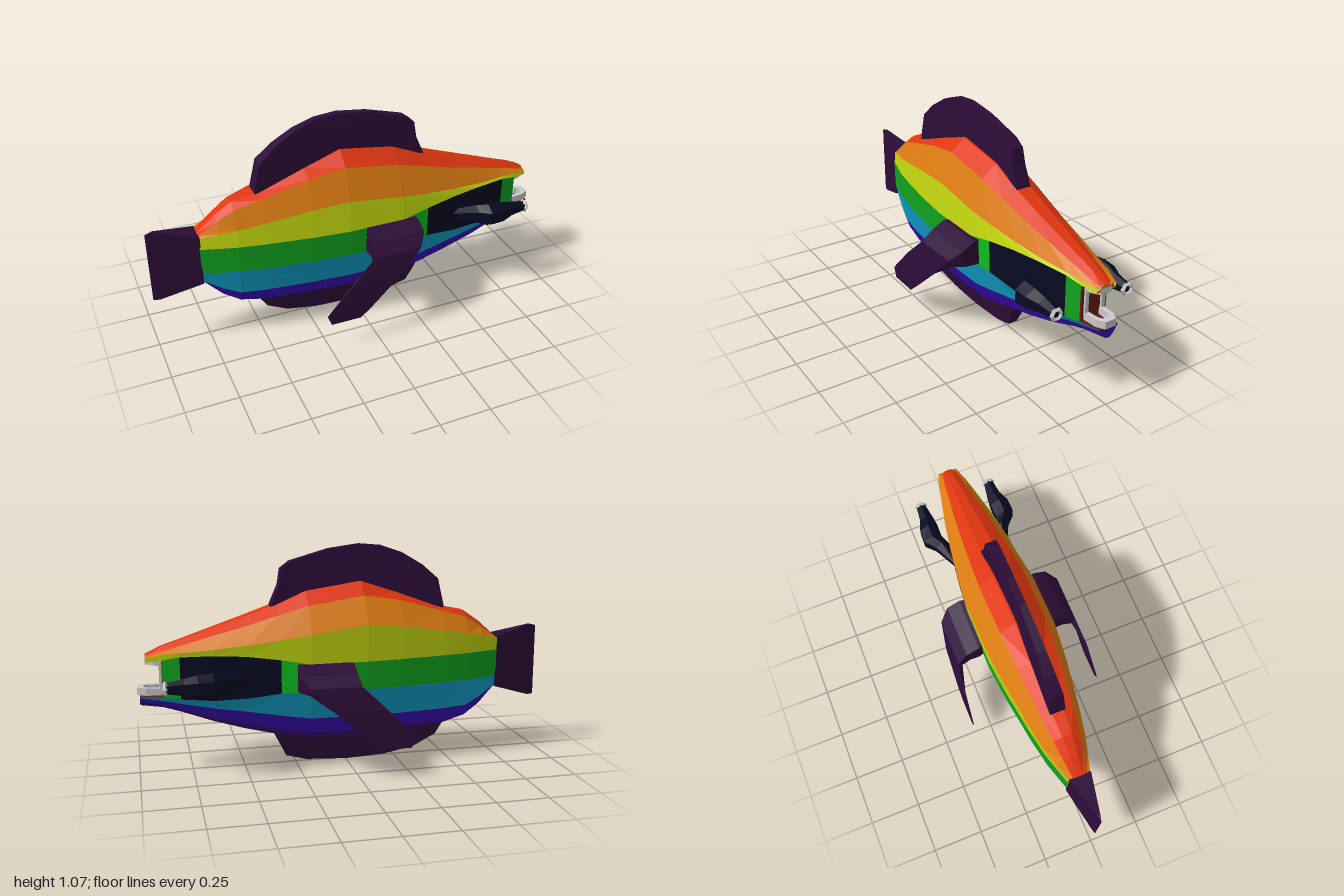
import * as THREE from 'three';

const FIN = 0x2d0c38, NAVY = 0x060a22, GREEN = 0x10a41e, MAROON = 0x6b1c10, GREY = 0xcccccc;

function add(group, name, geo, color) {
  const material = new THREE.MeshStandardMaterial({ color, flatShading: true, side: THREE.DoubleSide });
  const mesh = new THREE.Mesh(geo, material);
  mesh.name = name;
  group.add(mesh);
  return mesh;
}

// Faceted skin over a list of rows of [x, y, z] points
function skin(rows, flip = false) {
  const pos = [];
  for (let i = 0; i + 1 < rows.length; i++) {
    for (let j = 0; j + 1 < rows[i].length; j++) {
      const a = rows[i][j], b = rows[i + 1][j], c = rows[i + 1][j + 1], d = rows[i][j + 1];
      pos.push(...(flip ? [a, c, b, a, d, c] : [a, b, c, a, c, d]).flat());
    }
  }
  const geo = new THREE.BufferGeometry();
  geo.setAttribute('position', new THREE.Float32BufferAttribute(pos, 3));
  geo.computeVertexNormals();
  return geo;
}

// Closed skin through a list of rings with equal point counts
function loft(rings, flip) {
  const n = rings[0].length;
  const rows = [];
  for (let k = 0; k <= n; k++) rows.push(rings.map(r => r[k % n]));
  return skin(rows, flip);
}

// Side outline given a thickness that varies over x and y
function blade(outline, thickness) {
  const shape = new THREE.Shape(outline.map(([x, y]) => new THREE.Vector2(x, y)));
  const geo = new THREE.ExtrudeGeometry(shape, { depth: 1, bevelEnabled: false });
  const p = geo.attributes.position;
  for (let i = 0; i < p.count; i++) p.setZ(i, (p.getZ(i) - 0.5) * thickness(p.getX(i), p.getY(i)));
  geo.computeVertexNormals();
  return geo;
}

// Body stations: position along the body and half width
const X = [-.77, -.68, -.6, -.48, -.25, -.07, .2, .34, .5, .65, .8, .88, .96];
const W = [.055, .082, .105, .128, .162, .18, .182, .166, .145, .12, .088, .072, .05];

// Height of each colour boundary at the stations, from back ridge to belly
const Y = [
  [.59, .67, .725, .75, .83, .89, .85, .79, .735, .685, .635, .61, .575],
  [.588, .65, .70, .735, .80, .83, .79, .75, .70, .66, .615, .592, .568],
  [.58, .60, .61, .63, .665, .68, .645, .625, .605, .59, .58, .573, .56],
  [.525, .525, .525, .525, .525, .525, .525, .55, .57, .575, .57, .555, .545],
  [.39, .39, .39, .39, .39, .39, .39, .39, .37, .362, .37, .38, .385],
  [.345, .29, .255, .25, .25, .25, .255, .275, .30, .32, .345, .36, .375],
  [.34, .25, .20, .18, .175, .17, .175, .20, .235, .27, .315, .335, .355],
  [.335, .24, .185, .15, .135, .13, .13, .155, .195, .24, .295, .32, .335],
];
const WIDTH = [.22, .61, .92, 1, .98, .8, .61, .22];
const BANDS = [0xe0360f, 0xdc7c12, 0xc4d80e, GREEN, 0x109fc6, 0x3a0cb4, 0x3e0a78];
const BAND_NAMES = ['red', 'orange', 'yellow', 'green', 'cyan', 'blue', 'purple'];

function line(i, s) {
  const bulge = s < 0 && i === 2; // the right flank swells under the orange band
  return X.map((x, j) => [
    j === 12 ? (i < 4 ? .955 : .985) : x,
    Y[i][j] + (bulge ? .12 * W[j] : 0),
    s * W[j] * WIDTH[i] * (bulge ? 1.13 : 1),
  ]);
}

function addBody(group) {
  for (const s of [1, -1]) {
    const L = WIDTH.map((_, i) => line(i, s));
    const side = s > 0 ? 'Left' : 'Right';
    BANDS.forEach((color, i) => {
      const part = (name, from, to, c) =>
        add(group, name + side, skin([L[i].slice(from, to), L[i + 1].slice(from, to)], s < 0), c);
      if (i !== 3) return part(BAND_NAMES[i] + 'Band', 0, 13, color);
      part('greenBand', 0, 7, color);
      part('cheekPanel', 7, 11, NAVY);
      part('mouthCorner', 10, 12, color);
      // Green rim ahead of the fin
      part('cheekRim', 6, 8, 0x10c020);
    });
  }
  add(group, 'backRidge', skin([line(0, -1), line(0, 1)]), BANDS[0]);
  add(group, 'belly', skin([line(7, 1), line(7, -1)]), BANDS[6]);
}

function addMouth(group) {
  const tip = (i, s) => line(i, s).slice(11);
  add(group, 'palate', skin([tip(3, 1), tip(3, -1)]), MAROON);
  add(group, 'mouthFloor', skin([tip(4, -1), tip(4, 1)]), MAROON);
  add(group, 'throat', new THREE.BoxGeometry(.02, .17, .13), MAROON).position.set(.872, .467, 0);
  // Closed tips of both jaws
  const lip = (name, a, b, color) => add(group, name,
    skin([a, b].map(i => [line(i, 1)[12], line(i, -1)[12]])), color);
  lip('upperLip', 0, 3, BANDS[1]);
  lip('lowerLip', 4, 7, BANDS[5]);
  // U-shaped tooth rows
  const toothRow = (name, back, front, y, h, tilt) => {
    const outer = [[back, .052], [front - .04, .048], [front, .028]];
    const inner = [[front - .03, .018], [front - .05, .028], [back, .032]];
    const half = [...outer, [front, -.028], [front - .04, -.048], [back, -.052],
      [back, -.032], [front - .05, -.028], [front - .03, -.018], ...inner];
    const shape = new THREE.Shape(half.map(([x, z]) => new THREE.Vector2(x - back, z)));
    const geo = new THREE.ExtrudeGeometry(shape, { depth: h, bevelEnabled: false });
    geo.rotateX(-Math.PI / 2).rotateZ(tilt).translate(back, y, 0);
    add(group, name, geo, GREY);
  };
  toothRow('upperTeeth', .875, .958, .525, .04, .1);
  toothRow('lowerTeeth', .87, .997, .385, .035, .03);
  for (const s of [1, -1])
    add(group, 'backTooth', new THREE.BoxGeometry(.015, .13, .018), GREY).position.set(.885, .475, s * .044);
}

function addSidePods(group) {
  // x, centre z, half height, half width
  const sections = [[.48, .125, .03, .015], [.61, .165, .05, .04], [.66, .198, .06, .054],
    [.73, .196, .056, .054], [.79, .188, .04, .038], [.87, .19, .026, .026]];
  for (const s of [1, -1]) {
    const rings = sections.map(([x, z, h, w]) => Array.from({ length: 6 }, (_, k) => {
      const t = k * Math.PI / 3;
      return [x, .452 + h * Math.cos(t), s * z + w * Math.sin(t)];
    }));
    add(group, 'sidePod', loft(rings), NAVY);
    // Hexagonal muzzle with a dark bore
    const ring = add(group, 'podRing', new THREE.TorusGeometry(.024, .011, 4, 6), GREY);
    ring.rotation.y = Math.PI / 2;
    ring.position.set(.874, .452, s * .19);
    const bore = add(group, 'podBore', new THREE.CylinderGeometry(.02, .02, .02, 6), 0x101010);
    bore.rotation.z = Math.PI / 2;
    bore.position.set(.866, .452, s * .19);
  }
}

function addFins(group) {
  add(group, 'dorsalFin', blade([[-.49, .72], [-.49, .76], [-.46, .89], [-.38, .96], [-.28, 1.02],
    [-.18, 1.055], [-.07, 1.065], [.08, 1.045], [.27, .99], [.315, .955], [.325, .88], [.37, .775], [.3, .74]],
  (x, y) => THREE.MathUtils.mapLinear(Math.max(y, .86), .86, 1.065, .074, .034)), FIN);
  add(group, 'bellyFin', blade([[-.5, .165], [-.46, .1], [-.35, .04], [-.2, .01], [-.1, .004], [0, 0],
    [.2, .012], [.3, .04], [.33, .1], [.37, .18], [.2, .19], [-.4, .19]],
  (x, y) => THREE.MathUtils.mapLinear(Math.min(y, .13), 0, .13, .036, .074)), FIN);
  add(group, 'tailFin', blade([[-.765, .335], [-.765, .59], [-.965, .638], [-1, .63], [-1, .27], [-.97, .268]],
    x => .11 * (x + 1) / .235 + .001), FIN);

  // Side fins: rear x, front x, outer y and z, inner y and z
  const sections = [[.02, .26, .53, .15, .40, .15], [0, .27, .525, .2, .405, .2], [0, .27, .49, .265, .41, .25],
    [-.01, .23, .44, .315, .405, .295], [-.125, .125, .33, .337, .33, .328],
    [-.26, -.03, .19, .344, .19, .341], [-.24, -.09, .14, .345, .14, .344]];
  for (const s of [1, -1]) {
    const rings = sections.map(([x0, x1, yo, zo, yi, zi]) =>
      [[x1, yo, s * zo], [x0, yo, s * zo], [x0, yi, s * zi], [x1, yi, s * zi]]);
    add(group, s > 0 ? 'leftFin' : 'rightFin', loft(rings, s < 0), FIN);
  }
}

export function createModel() {
  const group = new THREE.Group();
  group.name = 'stripedFish';
  addBody(group);
  addMouth(group);
  addSidePods(group);
  addFins(group);
  return group;
}
